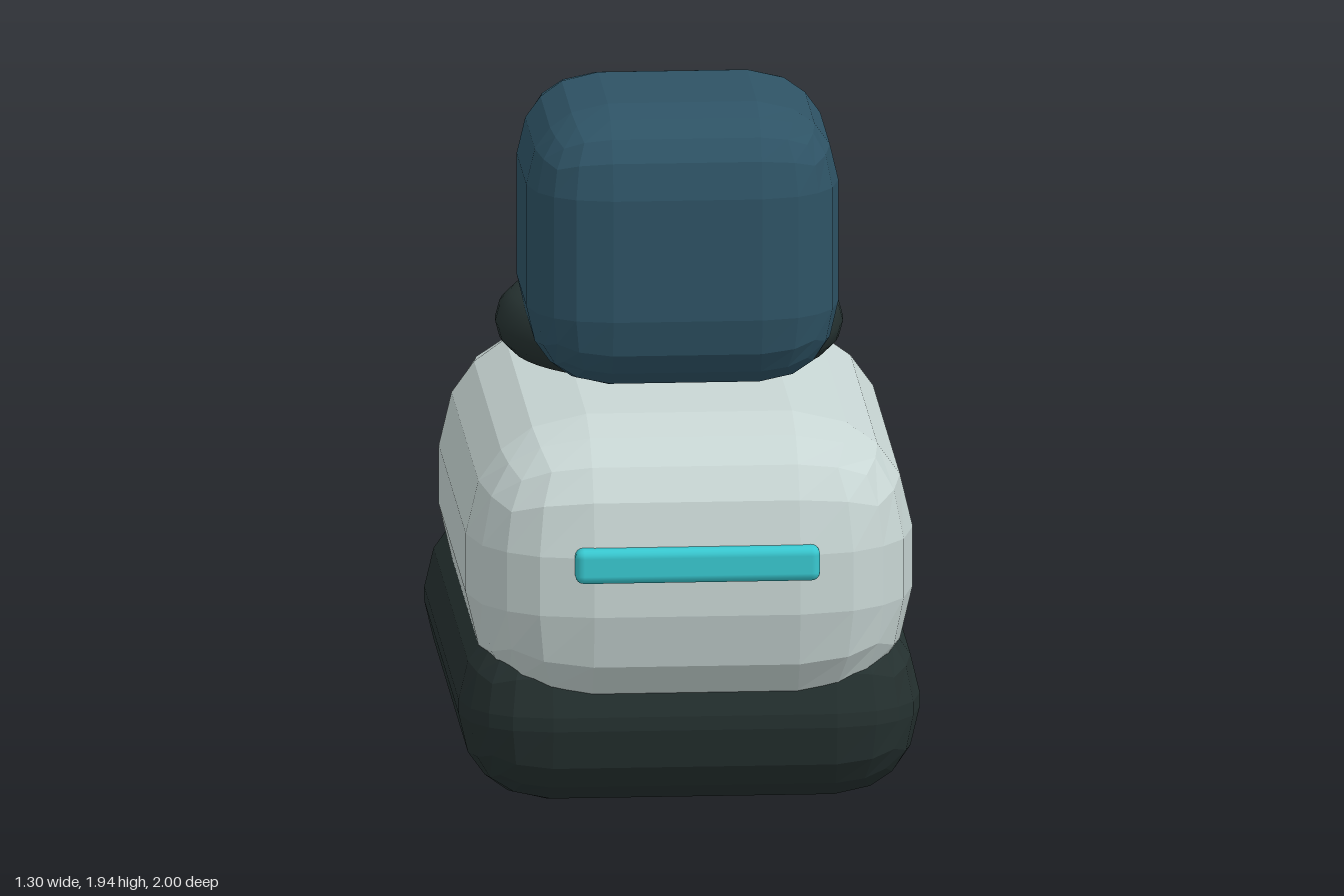
import * as THREE from 'three';
import { RoundedBoxGeometry } from 'three/addons/geometries/RoundedBoxGeometry.js';

function material(name, color, flatShading = false) {
  const m = new THREE.MeshStandardMaterial({ color, flatShading });
  m.name = name;
  return m;
}

export function createModel() {
  const model = new THREE.Group();
  model.name = 'model';

  const paleShell = material('pale shell', 0xc8d6d4, true);
  const darkRubber = material('dark rubber', 0x253130, true);
  const darkRing = material('dark ring', 0x253130);
  const navy = material('deep blue', 0x2e5365, true);
  const steel = material('steel grey', 0x7c959d);
  const cyan = material('cyan', 0x38c8d0);

  const add = (name, geometry, mat, x, y, z) => {
    const mesh = new THREE.Mesh(geometry, mat);
    mesh.name = name;
    mesh.position.set(x, y, z);
    model.add(mesh);
    return mesh;
  };

  // Rounded box given by half width, y range, z range and corner radius
  const block = (name, mat, hx, [y0, y1], [z0, z1], radius, segments = 2) =>
    add(name, new RoundedBoxGeometry(hx * 2, y1 - y0, z1 - z0, segments, radius), mat,
      0, (y0 + y1) / 2, (z0 + z1) / 2);

  block('base', darkRubber, 0.65, [0, 0.54], [-1, 0.88], 0.25);
  block('body', paleShell, 0.63, [0.26, 1.11], [-0.79, 0.97], 0.34);
  block('head', navy, 0.44, [1.13, 1.94], [-0.26, 0.585], 0.23);
  block('frontLight', cyan, 0.345, [0.7, 0.8], [0.93, 1], 0.025);

  // Collar lying on the body
  add('collar', new THREE.TorusGeometry(0.4, 0.09, 12, 48), darkRing, 0, 1.19, -0.18)
    .rotation.x = Math.PI / 2;

  // Neck drum with a rounded top rim
  const r = 0.38, top = 1.685, round = 0.06;
  const profile = [new THREE.Vector2(0, 1.08), new THREE.Vector2(r, 1.08)];
  for (let i = 0; i <= 5; i++) {
    const a = (i / 5) * Math.PI / 2;
    profile.push(new THREE.Vector2(r - round + round * Math.cos(a), top - round + round * Math.sin(a)));
  }
  profile.push(new THREE.Vector2(0, top));
  add('neckDrum', new THREE.LatheGeometry(profile, 48), steel, 0, 0, -0.18);

  return model;
}
